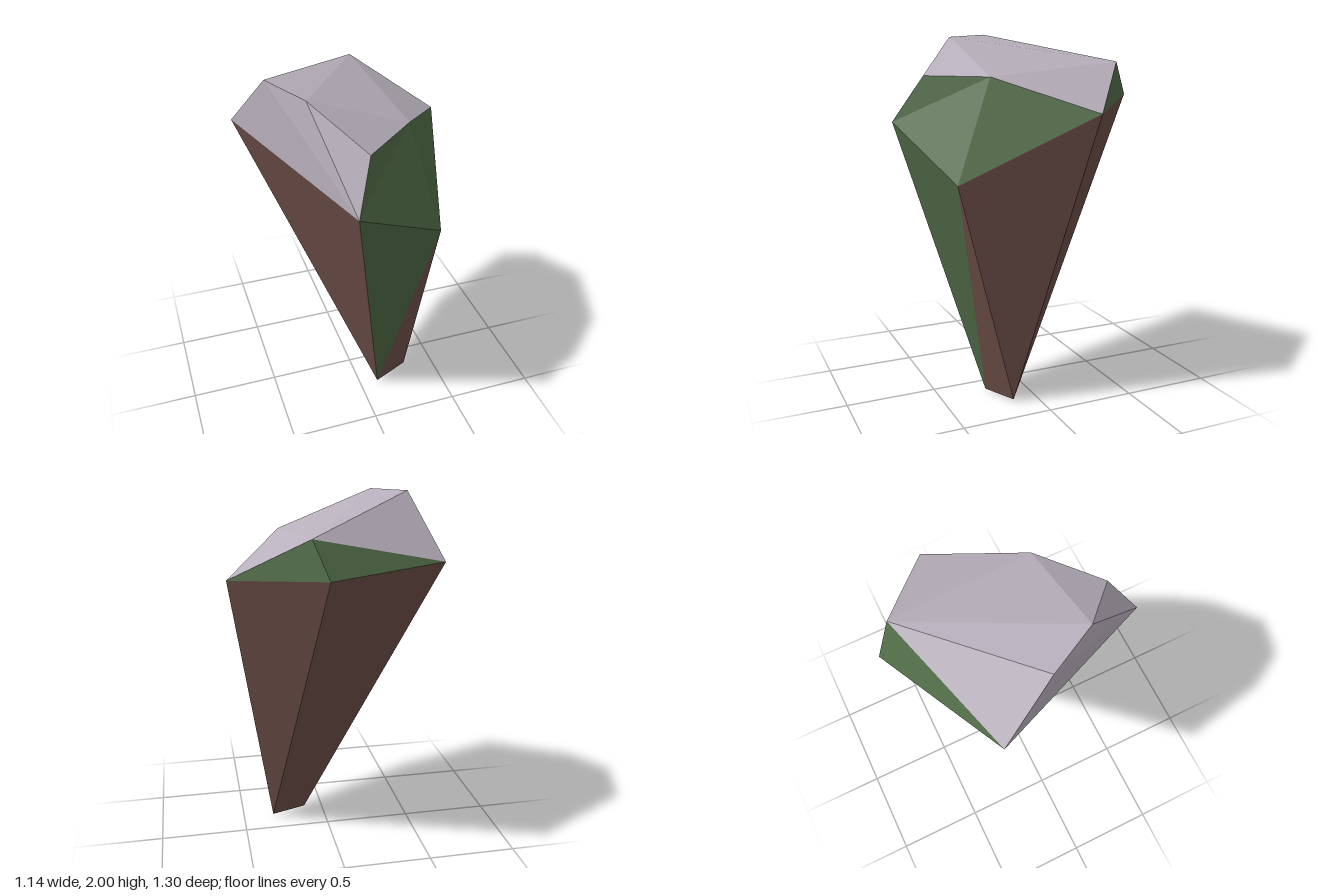
import * as THREE from 'three';

// Corner points of the tapering rock
const P = {
  // crown
  peakLeft: [-0.44, 2.0, 0.0],
  peakFront: [-0.30, 1.985, 0.265],
  crownBack: [0.18, 1.85, -0.55],
  crownRight: [0.24, 1.78, 0.235],
  crownFront: [-0.06, 1.78, 0.50],
  // shoulder
  left: [-0.57, 1.665, -0.305],
  front: [-0.165, 1.53, 0.65],
  frontRight: [0.35, 1.245, 0.46],
  right: [0.57, 1.60, -0.24],
  back: [0.11, 1.665, -0.65],
  // narrow foot
  footA: [0.11, 0.0, 0.225],
  footB: [0.32, 0.01, 0.14],
};
const CENTRE = new THREE.Vector3(0.05, 1.3, 0);

// Flat facets from named corners; each is turned to face away from the centre
function facets(name, material, faces) {
  const positions = [];
  for (const face of faces) {
    const v = face.map((key) => new THREE.Vector3(...P[key]));
    for (let i = 1; i < v.length - 1; i++) {
      const tri = new THREE.Triangle(v[0], v[i], v[i + 1]);
      const outward = tri.getMidpoint(new THREE.Vector3()).sub(CENTRE);
      const flip = tri.getNormal(new THREE.Vector3()).dot(outward) < 0;
      const order = flip ? [tri.a, tri.c, tri.b] : [tri.a, tri.b, tri.c];
      order.forEach((p) => positions.push(p.x, p.y, p.z));
    }
  }
  const geometry = new THREE.BufferGeometry();
  geometry.setAttribute('position', new THREE.Float32BufferAttribute(positions, 3));
  geometry.computeVertexNormals();
  const mesh = new THREE.Mesh(geometry, material);
  mesh.name = name;
  return mesh;
}

function paint(name, color) {
  const material = new THREE.MeshStandardMaterial({ color, flatShading: true });
  material.name = name;
  return material;
}

export function createModel() {
  const stone = paint('pale stone', 0xb8b0bc);
  const moss = paint('moss green', 0x506b46);
  const earth = paint('earth brown', 0x6f5049);

  const model = new THREE.Group();
  model.name = 'floatingRock';

  // Pale crown on top
  model.add(facets('stoneCrown', stone, [
    ['left', 'peakLeft', 'crownBack'],
    ['peakLeft', 'peakFront', 'crownBack'],
    ['peakFront', 'crownRight', 'crownBack'],
    ['crownBack', 'crownRight', 'right'],
    ['peakFront', 'crownFront', 'crownRight'],
    ['peakFront', 'front', 'crownFront'],
    ['peakLeft', 'front', 'peakFront'],
    ['left', 'front', 'peakLeft'],
  ]));

  // Green facets around the shoulder and down the front
  model.add(facets('mossPatches', moss, [
    ['front', 'frontRight', 'crownRight', 'crownFront'],
    ['frontRight', 'right', 'crownRight'],
    ['right', 'back', 'crownBack'],
    ['back', 'left', 'crownBack'],
    ['front', 'footA', 'frontRight'],
  ]));

  // Brown body tapering to the foot
  model.add(facets('earthBody', earth, [
    ['footA', 'footB', 'frontRight'],
    ['frontRight', 'footB', 'right'],
    ['right', 'footB', 'back'],
    ['back', 'footB', 'footA', 'left'],
    ['left', 'footA', 'front'],
  ]));

  return model;
}
